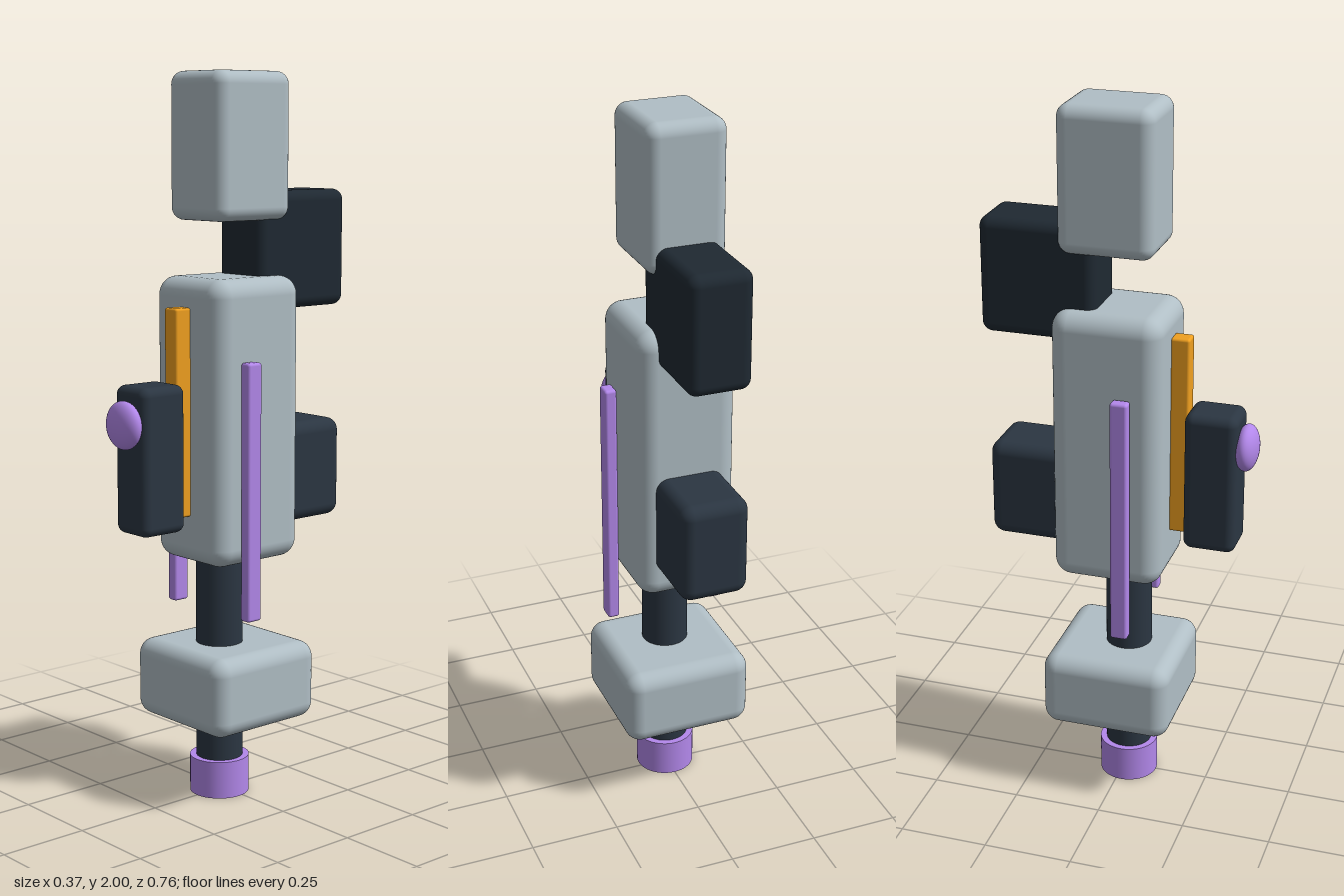
import * as THREE from 'three';
import { RoundedBoxGeometry } from 'three/addons/geometries/RoundedBoxGeometry.js';

const paint = (color) => new THREE.MeshStandardMaterial({ color });

export function createModel() {
  const group = new THREE.Group();
  const shell = paint(0xb0bec5);
  const dark = paint(0x2b3642);
  const darker = paint(0x1f2932);
  const violet = paint(0xb388eb);
  const amber = paint(0xf0a020);

  const add = (name, geometry, material, x, y, z) => {
    const mesh = new THREE.Mesh(geometry, material);
    mesh.name = name;
    mesh.position.set(x, y, z);
    group.add(mesh);
    return mesh;
  };

  // Rounded box given by its [min, max] range on each axis
  const box = (name, material, [x0, x1], [y0, y1], [z0, z1], radius) =>
    add(name, new RoundedBoxGeometry(x1 - x0, y1 - y0, z1 - z0, 5, radius), material,
      (x0 + x1) / 2, (y0 + y1) / 2, (z0 + z1) / 2);

  // Upright cylinder on the shaft axis
  const post = (name, material, radius, y0, y1) =>
    add(name, new THREE.CylinderGeometry(radius, radius, y1 - y0, 48), material,
      0, (y0 + y1) / 2, 0.015);

  // Foot, shaft and collar block
  post('footCap', violet, 0.083, 0, 0.105);
  post('shaft', dark, 0.065, 0.09, 0.72);
  box('collarBlock', shell, [-0.184, 0.184], [0.215, 0.435], [-0.192, 0.176], 0.045);

  // Main body and top block
  box('body', shell, [-0.138, 0.138], [0.675, 1.455], [-0.17, 0.138], 0.05);
  box('topBlock', shell, [-0.11, 0.11], [1.605, 2], [-0.155, 0.108], 0.035);

  // Blocks at the back
  box('upperRearBlock', darker, [-0.088, 0.088], [1.36, 1.683], [-0.379, -0.054], 0.03);
  box('lowerRearBlock', dark, [-0.096, 0.096], [0.76, 1.04], [-0.363, -0.1], 0.035);

  // Front rail with its slider and button
  box('frontRail', amber, [-0.025, 0.025], [0.81, 1.378], [0.135, 0.188], 0.007);
  box('frontSlider', dark, [-0.065, 0.065], [0.78, 1.18], [0.184, 0.331], 0.025);
  add('button', new THREE.SphereGeometry(0.065, 40, 24), violet, 0, 1.08, 0.346)
    .scale.z = 0.5;

  // Side strips
  for (const side of [1, -1]) {
    const strip = box(side > 0 ? 'leftStrip' : 'rightStrip', violet,
      [0.138, 0.172], [0.527, 1.235], [0.011, 0.06], 0.008);
    strip.position.x *= side;
  }

  return group;
}
